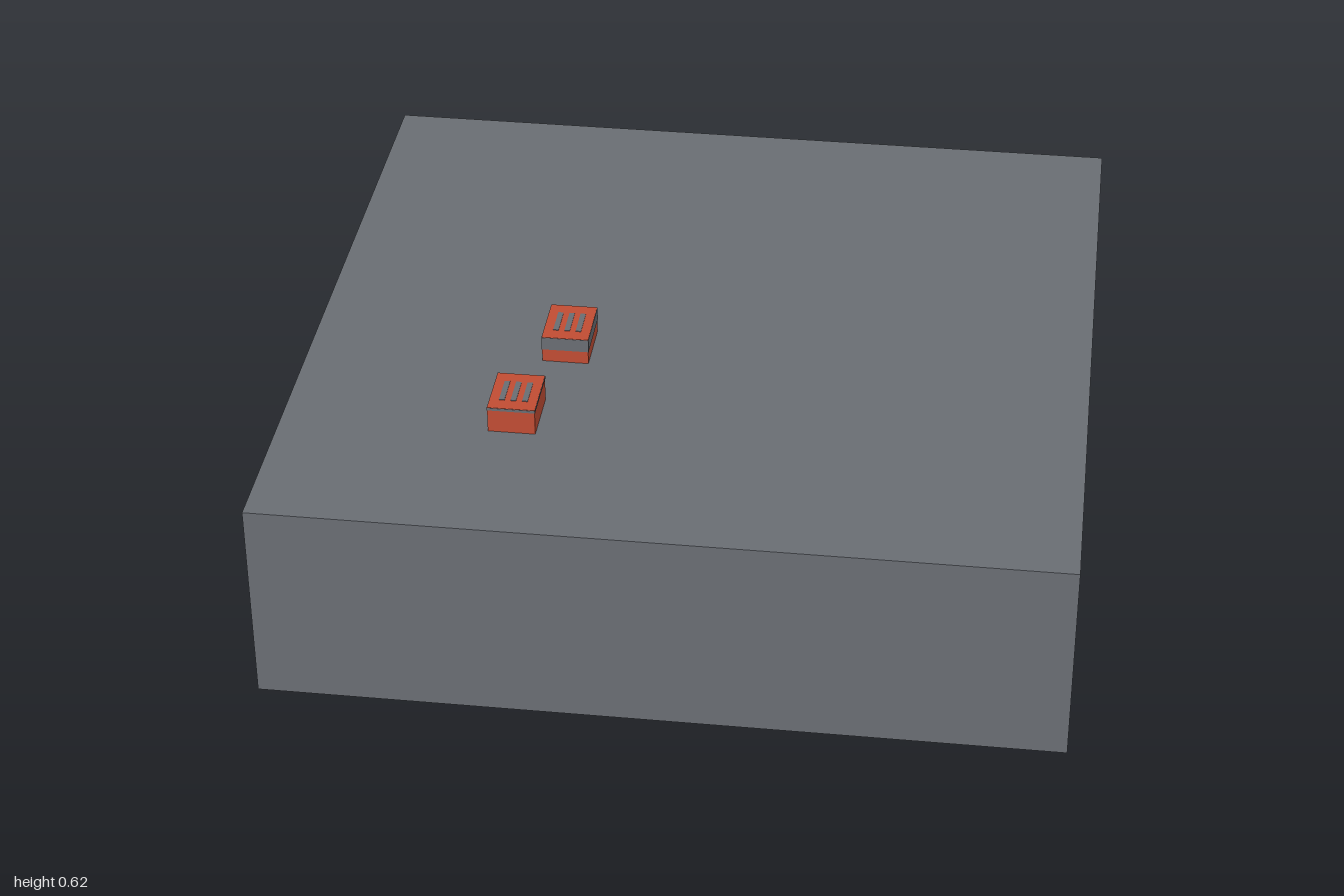
import * as THREE from 'three';

export function createModel() {
  const model = new THREE.Group();
  const slate = new THREE.MeshStandardMaterial({ color: 0x696d73, side: THREE.DoubleSide });
  slate.name = 'slate grey';
  const red = new THREE.MeshStandardMaterial({ color: 0xc04c33 });
  red.name = 'brick red';

  // gentle tilt shared by the roof and the lower rim
  const tilt = (x, z) => 0.0055 - 0.0025 * x + 0.003 * z;
  const depth = 0.536;

  // hollow slab: a box without its bottom, sheared to the tilt
  const shell = new THREE.BoxGeometry(2, depth, 2);
  const index = Array.from(shell.index.array);
  index.splice(18, 6); // bottom face
  shell.setIndex(index);
  shell.clearGroups();
  const p = shell.attributes.position;
  for (let i = 0; i < p.count; i++) {
    p.setY(i, p.getY(i) + depth / 2 + tilt(p.getX(i), p.getZ(i)));
  }
  shell.computeVertexNormals();
  const slab = new THREE.Mesh(shell, slate);
  slab.name = 'openSlab';
  model.add(slab);

  const addBox = (group, name, material, size, position) => {
    const mesh = new THREE.Mesh(new THREE.BoxGeometry(...size), material);
    mesh.position.set(...position);
    mesh.name = name;
    group.add(mesh);
  };

  // small vent housings; the band is the grey strip around the upper sides
  const addVent = (name, x, z, bandBottom) => {
    const vent = new THREE.Group();
    vent.name = name;
    vent.position.set(x, 0, z);
    const top = 0.614, w = 0.119, d = 0.159;
    const base = depth + tilt(x, z) - 0.002;
    addBox(vent, 'housing', red, [w, top - base, d], [0, (top + base) / 2, 0]);
    const bandTop = top - 0.001;
    addBox(vent, 'sideBand', slate, [w + 0.002, bandTop - bandBottom, d + 0.002],
      [0, (bandTop + bandBottom) / 2, 0]);
    // three slots in the lid
    for (const i of [-1, 0, 1]) {
      addBox(vent, 'slot', slate, [0.014, 0.002, 0.085], [i * 0.029, top + 0.0005, 0]);
    }
    model.add(vent);
  };
  addVent('frontVent', -0.418, 0.5, 0.606);
  addVent('rearVent', -0.336, 0.164, 0.578);

  return model;
}
